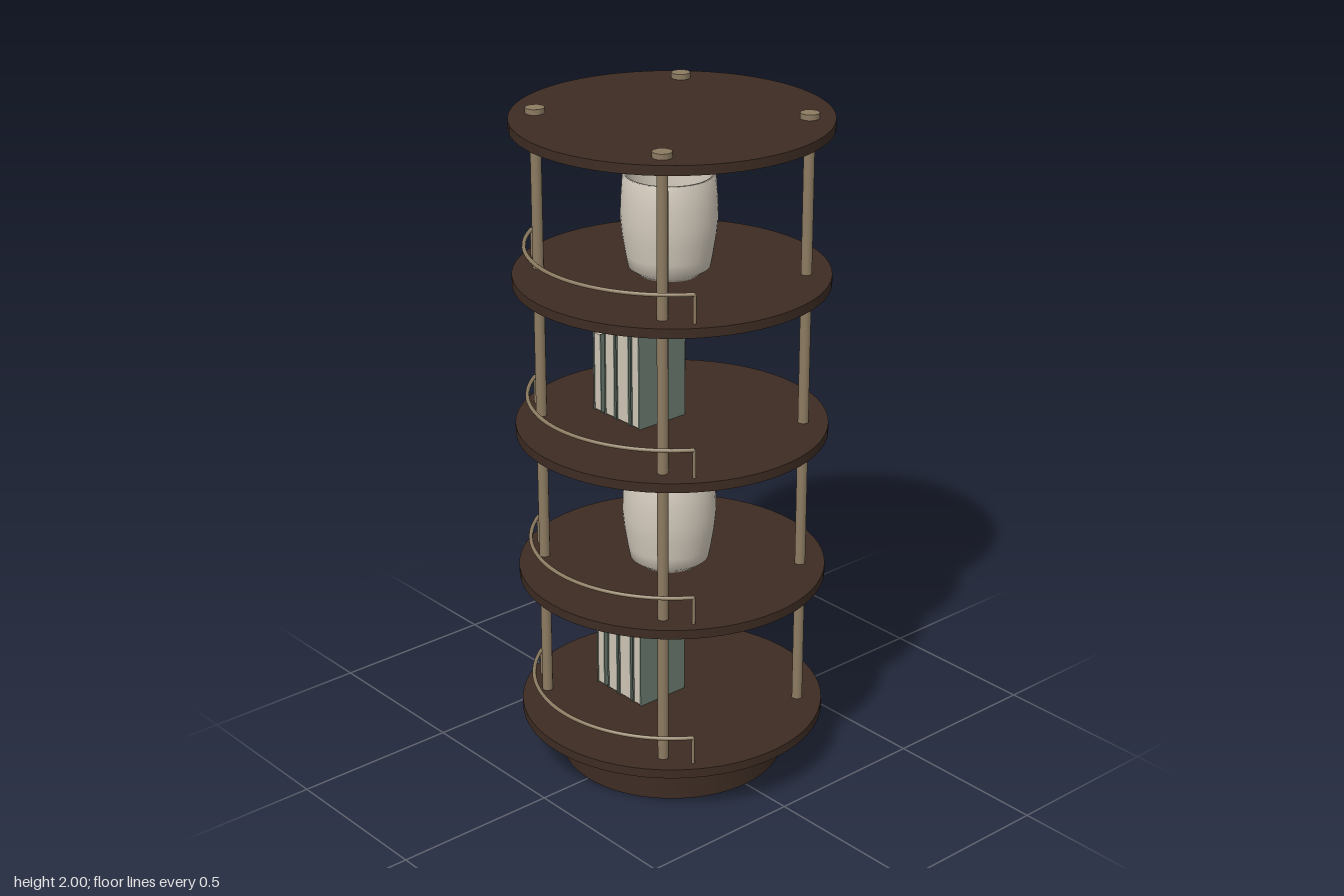
import * as THREE from 'three';

const mat = (name, color, side = THREE.FrontSide) => {
  const m = new THREE.MeshStandardMaterial({ color, side });
  m.name = name;
  return m;
};

export function createModel() {
  const wood = mat('dark wood', 0x3d2c23);
  const brass = mat('aged brass', 0x8c7b61);
  const ceramic = mat('pale ceramic', 0xd3cabc, THREE.DoubleSide);
  const cover = mat('green book cover', 0x6a796f);
  const paper = mat('paper', 0xd0c7b6);

  const model = new THREE.Group();
  model.name = 'roundShelf';

  const add = (parent, name, geometry, material, x = 0, y = 0, z = 0) => {
    const mesh = new THREE.Mesh(geometry, material);
    mesh.name = name;
    mesh.position.set(x, y, z);
    parent.add(mesh);
    return mesh;
  };
  // Upright cylinder given by its bottom and top heights
  const column = (parent, name, r, y0, y1, material, sides, x = 0, z = 0) =>
    add(parent, name, new THREE.CylinderGeometry(r, r, y1 - y0, sides), material, x, (y0 + y1) / 2, z);
  const box = (parent, name, w, h, d, material, x, y, z) =>
    add(parent, name, new THREE.BoxGeometry(w, h, d), material, x, y, z);

  // Plinth and brass collar
  column(model, 'plinth', 0.333, 0, 0.102, wood, 64);
  column(model, 'collar', 0.38, 0.102, 0.143, brass, 64);

  // Shelf discs
  const thickness = 0.028;
  const shelfTops = [0, 1, 2, 3, 4].map((i) => 0.17 + i * 0.4535);
  shelfTops.forEach((y) => column(model, 'shelf', 0.452, y - thickness, y, wood, 64));

  // Four posts with caps above the top shelf
  for (const x of [-0.268, 0.268]) {
    for (const z of [-0.268, 0.268]) {
      column(model, 'post', 0.016, 0.15, 1.975, brass, 12, x, z);
      column(model, 'postCap', 0.028, 1.98, 2, brass, 10, x, z);
    }
  }

  // Curved front rail on two thin uprights
  class RailCurve extends THREE.Curve {
    getPoint(t, target = new THREE.Vector3()) {
      const a = -1 + 2 * t;
      return target.set(0.416 * Math.sin(a), 0, 0.416 * Math.cos(a));
    }
  }
  const railGeometry = new THREE.TubeGeometry(new RailCurve(), 40, 0.006, 8);
  const makeRail = (y) => {
    const rail = new THREE.Group();
    rail.name = 'frontRail';
    rail.position.y = y;
    add(rail, 'railBar', railGeometry, brass, 0, 0.083, 0);
    for (const a of [-1, 1]) {
      column(rail, 'railUpright', 0.005, 0, 0.086, brass, 8, 0.416 * Math.sin(a), 0.416 * Math.cos(a));
    }
    model.add(rail);
  };

  // Hollow pot: outside from the foot up, over the lip and down inside
  const potGeometry = new THREE.LatheGeometry([
    [0, 0], [0.088, 0], [0.117, 0.022], [0.124, 0.06], [0.133, 0.115], [0.138, 0.165],
    [0.136, 0.22], [0.131, 0.29], [0.12, 0.29], [0.125, 0.2], [0.112, 0.05], [0, 0.04],
  ].map(([x, y]) => new THREE.Vector2(x, y)), 40);
  const makePot = (y) => add(model, 'pot', potGeometry, ceramic, 0, y, 0.01);

  // Row of books: spines to the back, page edges to the front
  const books = [
    // centre x, width, height
    [-0.183, 0.036, 0.243],
    [-0.128, 0.046, 0.27],
    [-0.07, 0.056, 0.298],
    [-0.015, 0.037, 0.325],
  ];
  const makeBooks = (y) => {
    const row = new THREE.Group();
    row.name = 'bookRow';
    row.position.set(0, y, 0.04);
    const t = 0.005;
    const depth = 0.175;
    for (const [x, w, h] of books) {
      const book = new THREE.Group();
      book.name = 'book';
      book.position.set(x, h / 2, 0);
      for (const s of [-1, 1]) {
        box(book, 'bookCover', t, h, depth, cover, s * (w - t) / 2, 0, 0);
      }
      box(book, 'bookSpine', w - 2 * t, h, t, cover, 0, 0, (t - depth) / 2);
      box(book, 'pages', w - 2 * t, h - 0.006, depth - t - 0.002, paper, 0, 0, t / 2 - 0.001);
      row.add(book);
    }
    model.add(row);
  };

  // Rails on the four open shelves, books and pots alternating
  shelfTops.slice(0, 4).forEach((y, i) => {
    makeRail(y);
    if (i % 2 === 0) makeBooks(y);
    else makePot(y);
  });

  return model;
}
